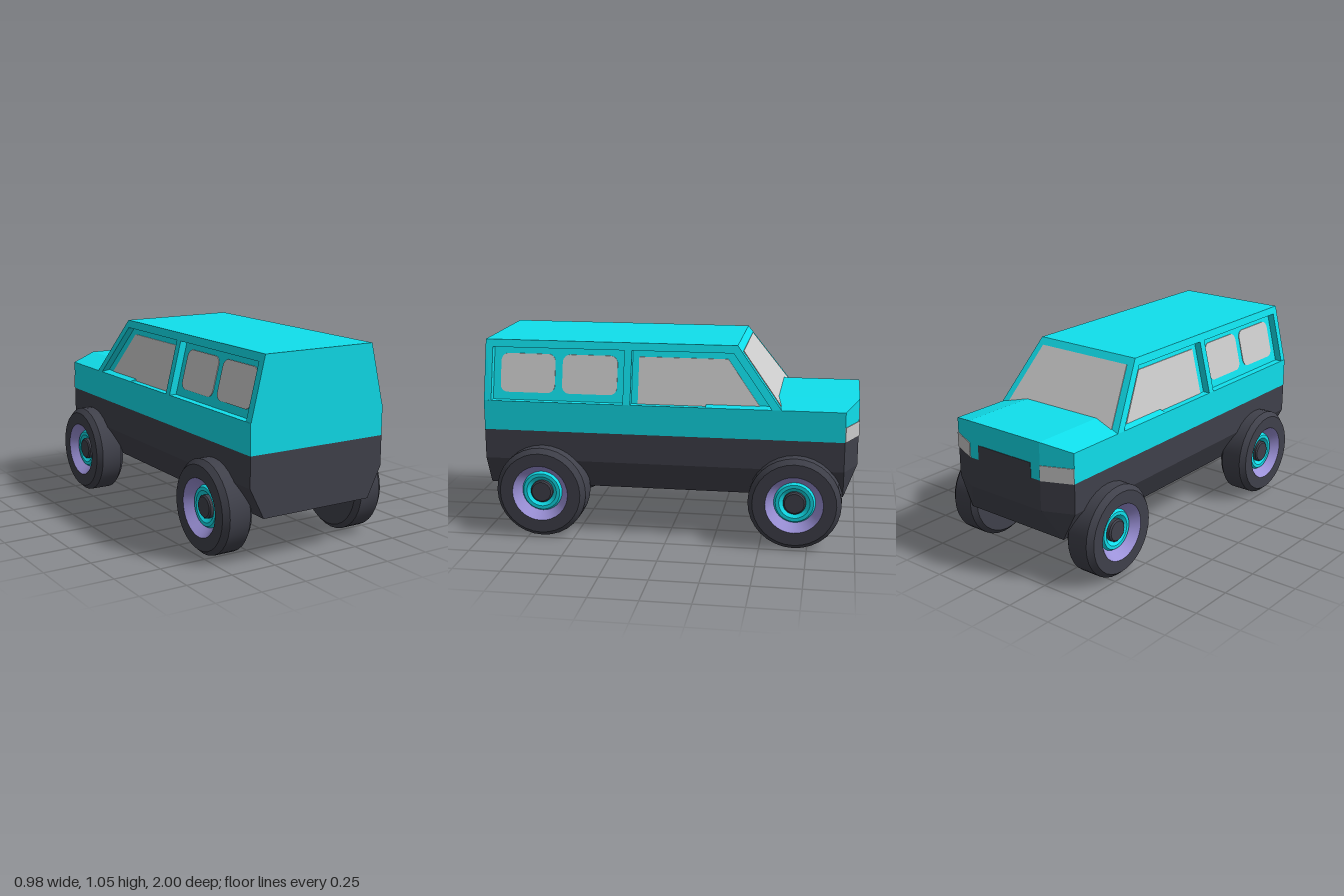
import * as THREE from 'three';
import { ConvexGeometry } from 'three/addons/geometries/ConvexGeometry.js';
import { toCreasedNormals } from 'three/addons/utils/BufferGeometryUtils.js';

const paint = new THREE.MeshStandardMaterial({ color: 0x10dfec, flatShading: true });
const dark = new THREE.MeshStandardMaterial({ color: 0x40414b, flatShading: true });
const glass = new THREE.MeshStandardMaterial({ color: 0xcccccc, flatShading: true });
const hubPaint = new THREE.MeshStandardMaterial({ color: 0x10dfec });
const rubber = new THREE.MeshStandardMaterial({ color: 0x40414b });
const lilac = new THREE.MeshStandardMaterial({ color: 0x9c92d9 });

const SILL = 0.73, ROOF = 1.05, LEAN = 0.25; // cabin sides lean in by LEAN per unit of height
const screenZ = (y) => -0.6 + (y - SILL) * 0.75;

function add(parent, name, geometry, material) {
  const mesh = new THREE.Mesh(geometry, material);
  mesh.name = name;
  parent.add(mesh);
  return mesh;
}

// Convex solid from [x, y, z] corners, mirrored across x = 0
function mirroredHull(corners) {
  return new ConvexGeometry(corners.flatMap(([x, y, z]) =>
    [new THREE.Vector3(x, y, z), new THREE.Vector3(-x, y, z)]));
}

const polygon = (points, Type = THREE.Shape) =>
  new Type(points.map(([z, y]) => new THREE.Vector2(-z, y)));

// Rounded rectangle between z0 > z1 and y0 < y1
function roundedPane(z0, z1, y0, y1, r) {
  const a = -z0, b = -z1, s = new THREE.Shape();
  s.moveTo(a + r, y0);
  s.lineTo(b - r, y0).absarc(b - r, y0 + r, r, -Math.PI / 2, 0);
  s.lineTo(b, y1 - r).absarc(b - r, y1 - r, r, 0, Math.PI / 2);
  s.lineTo(a + r, y1).absarc(a + r, y1 - r, r, Math.PI / 2, Math.PI);
  s.lineTo(a, y0 + r).absarc(a + r, y0 + r, r, Math.PI, Math.PI * 1.5);
  return s;
}

// Slab drawn in side elevation, placed on one side and leaned with the cabin
function sideSlab(shape, side, inner, depth) {
  const g = new THREE.ExtrudeGeometry(shape, { depth, bevelEnabled: false, curveSegments: 6 });
  g.rotateY(Math.PI / 2);
  const p = g.attributes.position;
  for (let i = 0; i < p.count; i++) {
    const lean = Math.max(p.getY(i) - SILL, 0) * LEAN;
    const start = side > 0 ? inner : -inner - depth;
    p.setX(i, start + p.getX(i) - side * lean);
  }
  g.computeVertexNormals();
  return g;
}

function buildWheel(side, z) {
  const wheel = new THREE.Group();
  wheel.name = (z < 0 ? 'nose' : 'tail') + (side > 0 ? 'Left' : 'Right') + 'Wheel';
  // profiles are [radius, distance from inner face]
  const turn = (name, pts, material) => add(wheel, name, toCreasedNormals(
    new THREE.LatheGeometry(pts.map(([r, h]) => new THREE.Vector2(r, h)), 32), 0.5), material);
  turn('tyre', [[0, 0], [0.22, 0], [0.245, 0.025], [0.245, 0.142], [0.22, 0.17], [0.152, 0.17]], rubber);
  turn('rim', [[0.152, 0.17], [0.11, 0.12]], lilac);
  turn('hubRing', [[0.11, 0.12], [0.1, 0.135], [0.082, 0.135], [0.06, 0.115]], hubPaint);
  turn('hubCap', [[0.06, 0.115], [0.06, 0.135], [0.052, 0.142], [0, 0.142]], rubber);
  wheel.rotation.z = -side * Math.PI / 2;
  wheel.position.set(side * 0.32, 0.247, z);
  return wheel;
}

export function createModel() {
  const car = new THREE.Group();
  car.name = 'offRoadCar';

  // Dark lower body, tucked in towards the floor
  const outline = (y) => [[0.4, y, 1], [0.4, y, -0.93], [0.24, y, -1]];
  add(car, 'lowerBody', mirroredHull(
    [[0.32, 0.25, 1], [0.32, 0.25, -0.93], ...outline(0.41), ...outline(0.57)]), dark);

  // Painted belt and raised hood
  add(car, 'beltBody', mirroredHull([...outline(0.57), ...outline(SILL)]), paint);
  add(car, 'hood', mirroredHull([[0.4, SILL, -0.93], [0.4, SILL, -0.2], [0.24, SILL, -1],
    [0.24, 0.77, -1], [0.24, 0.77, -0.2]]), paint);

  // Grille and corner lamps
  const grille = add(car, 'grille', new THREE.BoxGeometry(0.36, 0.08, 0.01), dark);
  grille.position.set(0, 0.61, -0.998);
  for (const s of [1, -1]) {
    const corners = [0.57, 0.65].flatMap((y) => [[0.4, -0.93], [0.24, -1]].flatMap(([x, z]) =>
      [0, 1].map((k) => new THREE.Vector3(s * (x + k * 0.0016), y, z - k * 0.0036))));
    add(car, 'cornerLamp', new ConvexGeometry(corners), glass);
  }

  // Cabin core between the window frames
  add(car, 'cabin', mirroredHull([[0.36, SILL, 1], [0.36, SILL, -0.6],
    [0.28, ROOF, 1], [0.28, ROOF, -0.36]]), paint);

  // Windscreen
  add(car, 'windscreen', mirroredHull([[0.355, 0.74], [0.288, 1.015]].flatMap(([x, y]) =>
    [[x, y, screenZ(y)], [x, y + 0.0024, screenZ(y) - 0.0032]])), glass);

  // Window frames with recessed openings, and the panes
  for (const s of [1, -1]) {
    const frame = polygon([[1, 0.72], [-0.6, 0.72], [-0.6, SILL], [-0.36, ROOF], [1, ROOF]]);
    frame.holes.push(
      polygon([[0.96, SILL], [0.96, 1.01], [0.24, 1.01], [0.24, SILL]], THREE.Path),
      polygon([[0.2, SILL], [0.2, 1.01], [-0.34, 1.01], [-0.55, SILL]], THREE.Path));
    add(car, 'windowFrame', sideSlab(frame, s, 0.36, 0.04), paint);
    const panes = [roundedPane(0.92, 0.62, 0.77, 0.973, 0.04), roundedPane(0.58, 0.28, 0.77, 0.973, 0.04),
      polygon([[0.165, SILL], [-0.49, SILL], [-0.31, 0.973], [0.165, 0.973]])];
    for (const pane of panes) add(car, 'sideWindow', sideSlab(pane, s, 0.36, 0.004), glass);
    for (const z of [0.68, -0.68]) car.add(buildWheel(s, z));
  }
  return car;
}
